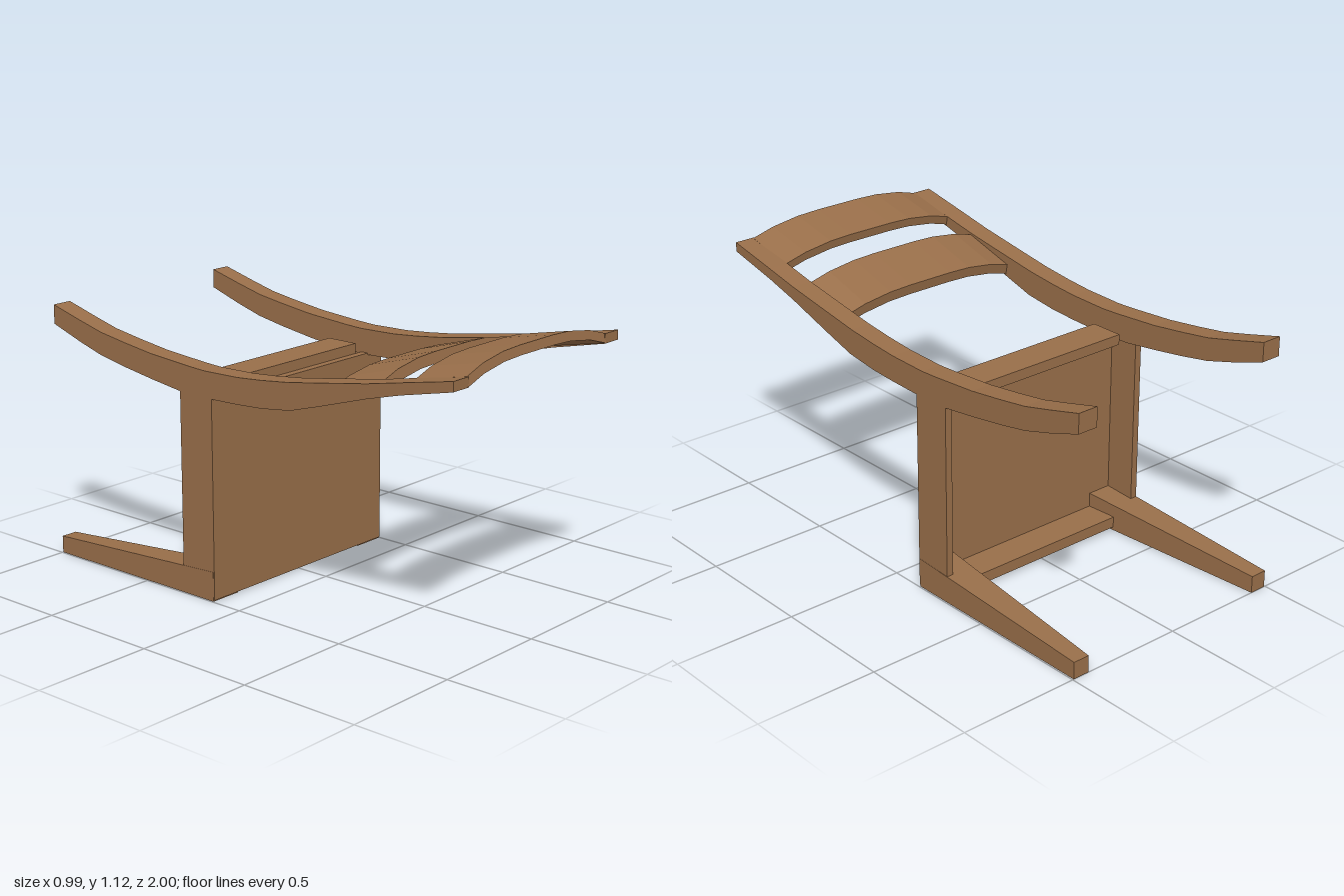
import * as THREE from 'three';

const wood = new THREE.MeshStandardMaterial({ color: 0x986e49, flatShading: true });

function add(parent, name, geometry) {
  const mesh = new THREE.Mesh(geometry, wood);
  mesh.name = name;
  parent.add(mesh);
  return mesh;
}

// Box given by its lower and upper corners
function box(x0, x1, y0, y1, z0, z1) {
  return new THREE.BoxGeometry(x1 - x0, y1 - y0, z1 - z0)
    .translate((x0 + x1) / 2, (y0 + y1) / 2, (z0 + z1) / 2);
}

// Curved back leg: side profile in (z, y), extruded across x
function backLegGeometry(x0, x1) {
  const outline = [
    [1, 1.037], [0.77, 0.985], [0.62, 0.945], [0.4, 0.877], [0.26, 0.836], [0.12, 0.818],
    [0, 0.811], [-0.14, 0.807], [-0.3, 0.81], [-0.45, 0.83], [-0.6, 0.853], [-0.73, 0.877],
    [-0.85, 0.912], [-1, 0.962], [-1, 1.04], [-0.85, 1.0], [-0.73, 0.97], [-0.6, 0.95],
    [-0.45, 0.93], [-0.25, 0.915], [-0.17, 0.911], [0, 0.915], [0.12, 0.925], [0.25, 0.94],
    [0.4, 0.964], [0.62, 1.0], [0.77, 1.03], [1, 1.075],
  ];
  const shape = new THREE.Shape(outline.map(([z, y]) => new THREE.Vector2(-z, y)));
  return new THREE.ExtrudeGeometry(shape, { depth: x1 - x0, bevelEnabled: false })
    .rotateY(Math.PI / 2).translate(x0, 0, 0);
}

// Tapered front leg: a box that narrows towards its foot
function frontLegGeometry(side) {
  const g = new THREE.BoxGeometry(1, 1, 1);
  const p = g.attributes.position;
  for (let i = 0; i < p.count; i++) {
    const foot = p.getZ(i) < 0;
    const inner = p.getX(i) * side < 0;
    const x = inner ? (foot ? 0.425 : 0.36) : 0.495;
    const y = p.getY(i) < 0 ? 0 : (foot ? 0.07 : 0.12);
    p.setXYZ(i, side * x, y, foot ? -1 : -0.14);
  }
  g.computeVertexNormals();
  return g;
}

// Arched slat, sloping down from its front edge to its back edge
function slatGeometry({ top, thick, zFront, zBack, drop }) {
  const arch = [[-0.415, -0.05], [-0.32, -0.022], [-0.2, -0.004], [-0.1, 0],
    [0.1, 0], [0.2, -0.004], [0.32, -0.022], [0.415, -0.05]];
  const upper = arch.map(([x, y]) => new THREE.Vector2(x, top + y));
  const lower = arch.map(([x, y]) => new THREE.Vector2(x, top + y - thick)).reverse();
  const depth = zFront - zBack;
  const g = new THREE.ExtrudeGeometry(new THREE.Shape([...upper, ...lower]), { depth, bevelEnabled: false });
  const p = g.attributes.position;
  for (let i = 0; i < p.count; i++) {
    const z = p.getZ(i), y = p.getY(i);
    p.setY(i, y - drop * (1 - z / depth));
    p.setZ(i, zBack + z - 0.2 * (y - top + 0.05));
  }
  g.computeVertexNormals();
  return g;
}

export function createModel() {
  const chair = new THREE.Group();
  chair.name = 'chair';

  // Seat panel, standing upright because the chair lies on its front legs
  add(chair, 'seat', box(-0.494, 0.494, 0.006, 0.814, -0.168, -0.135));

  // Rails under the seat
  add(chair, 'backRail', box(-0.37, 0.37, 0.815, 0.857, -0.305, -0.165));
  add(chair, 'frontRail', box(-0.37, 0.37, 0.015, 0.06, -0.3, -0.165));

  for (const side of [1, -1]) {
    const label = side > 0 ? 'left' : 'right';
    const span = (a, b) => (side > 0 ? [a, b] : [-b, -a]);
    add(chair, label + 'SideRail', box(...span(0.465, 0.494), 0.004, 0.815, -0.3, -0.16));
    add(chair, label + 'BackLeg', backLegGeometry(...span(0.41, 0.495)));
    add(chair, label + 'FrontLeg', frontLegGeometry(side));
  }

  // Backrest slats
  add(chair, 'topSlat', slatGeometry({ top: 1.125, thick: 0.036, zFront: 0.995, zBack: 0.775, drop: 0.046 }));
  add(chair, 'lowerSlat', slatGeometry({ top: 1.042, thick: 0.042, zFront: 0.625, zBack: 0.395, drop: 0.066 }));

  return chair;
}
